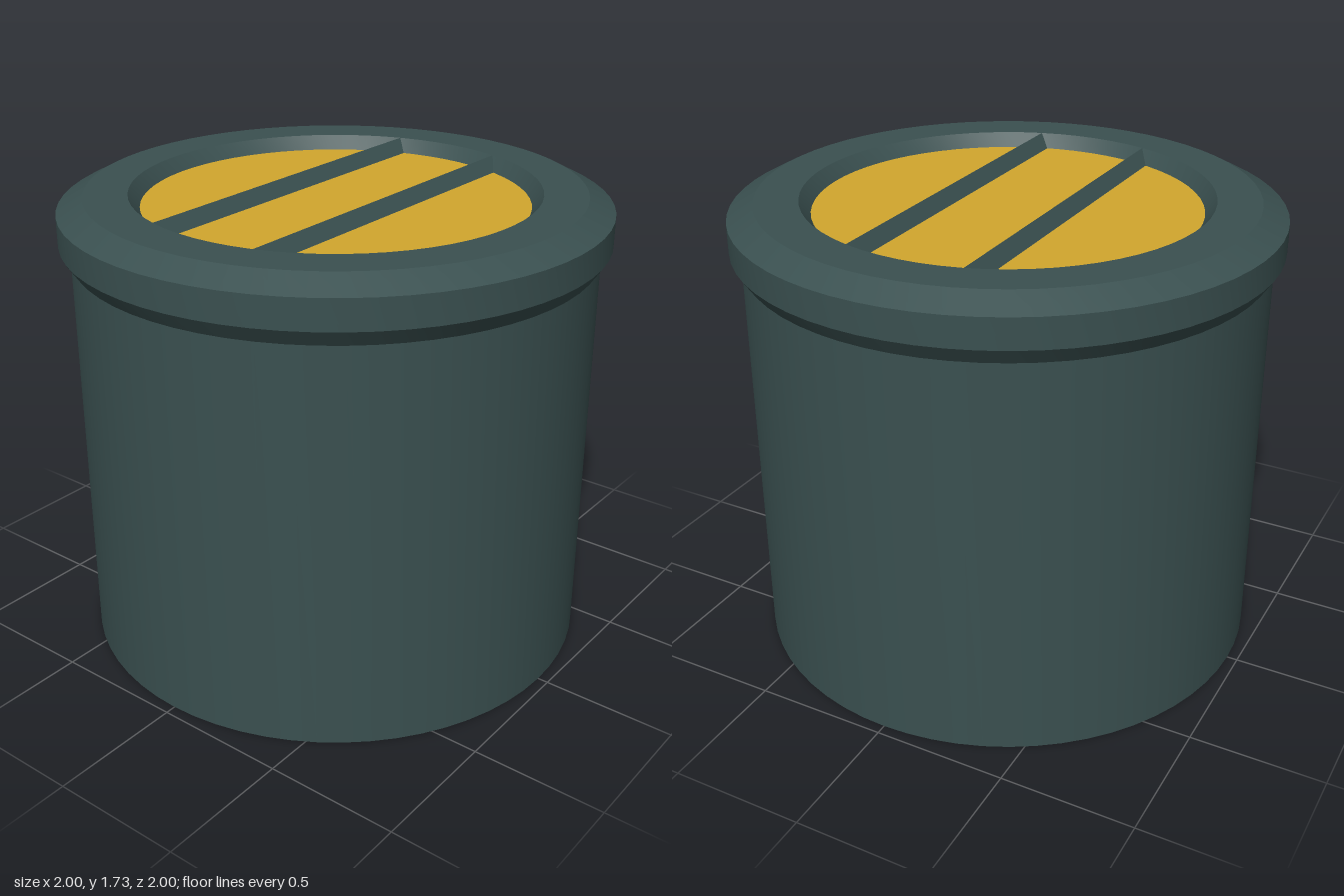
import * as THREE from 'three';
import { toCreasedNormals } from 'three/addons/utils/BufferGeometryUtils.js';

const SEGMENTS = 64;
const TOP = 1.73, FLOOR = 1.68;           // rim height and recess floor height
const R_TOP = 0.745, R_FLOOR = 0.705;     // recess radius at rim and floor

export function createModel() {
  const group = new THREE.Group();
  const green = new THREE.MeshStandardMaterial({ color: 0x3a5050, side: THREE.DoubleSide });
  green.name = 'darkGreen';
  const yellow = new THREE.MeshStandardMaterial({ color: 0xd2a72e, side: THREE.DoubleSide });
  yellow.name = 'yellow';

  const add = (name, geometry, material) => {
    const mesh = new THREE.Mesh(geometry, material);
    mesh.name = name;
    group.add(mesh);
    return mesh;
  };
  const lathe = (points) => toCreasedNormals(
    new THREE.LatheGeometry(points.map(([r, y]) => new THREE.Vector2(r, y)), SEGMENTS), 0.4);

  // Open-bottomed tube wall
  add('body', lathe([[0.96, 0], [0.96, 1.51]]), green);

  // Flared, bevelled rim with a sloping recess wall
  add('rim', lathe([
    [0.96, 1.51], [1, 1.57], [1, 1.68], [0.905, TOP], [R_TOP, TOP], [R_FLOOR, FLOOR],
  ]), green);

  // Recessed disc
  const disc = add('disc', new THREE.CircleGeometry(R_FLOOR, SEGMENTS), yellow);
  disc.rotation.x = -Math.PI / 2;
  disc.position.y = FLOOR;

  // Two triangular ridges, their ends fitted to the sloping recess wall
  for (const [name, x] of [['leftRidge', 0.22], ['rightRidge', -0.22]]) {
    const section = new THREE.Shape([
      new THREE.Vector2(x - 0.04, FLOOR),
      new THREE.Vector2(x + 0.04, FLOOR),
      new THREE.Vector2(x, TOP),
    ]);
    const ridge = new THREE.ExtrudeGeometry(section, { depth: 1, bevelEnabled: false });
    const p = ridge.attributes.position;
    for (let i = 0; i < p.count; i++) {
      const r = p.getY(i) > (TOP + FLOOR) / 2 ? R_TOP : R_FLOOR;
      const end = Math.sqrt(r * r - p.getX(i) ** 2);
      p.setZ(i, p.getZ(i) > 0.5 ? end : -end);
    }
    ridge.computeVertexNormals();
    add(name, ridge, green);
  }

  return group;
}
